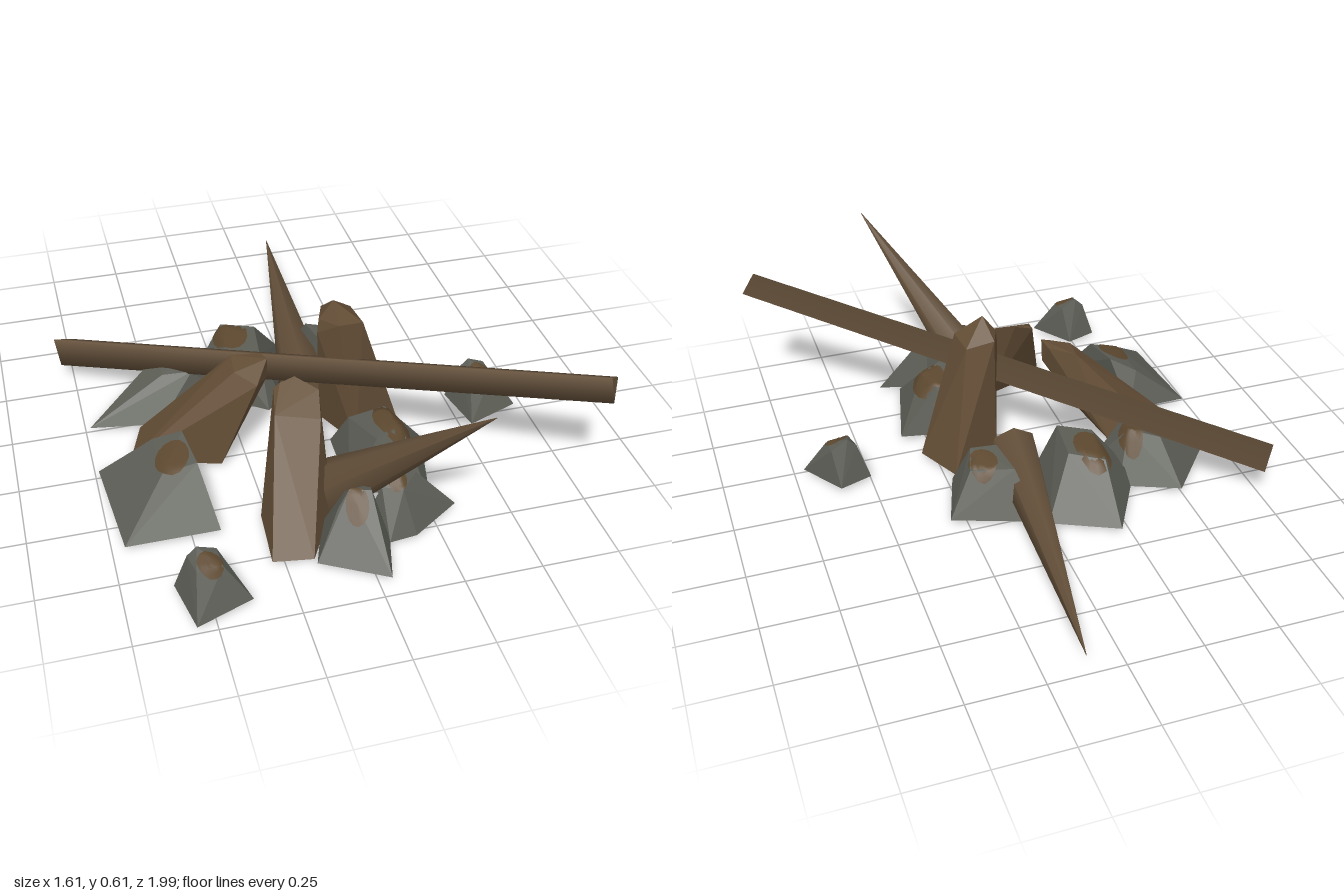
import * as THREE from 'three';
import { ConvexGeometry } from 'three/addons/geometries/ConvexGeometry.js';

const V = (x, y, z) => new THREE.Vector3(x, y, z);
const GROUND = 0.02;

export function createModel() {
  const model = new THREE.Group();
  const material = (name, color, extra = {}) =>
    Object.assign(new THREE.MeshStandardMaterial({ color, ...extra }), { name });
  const open = { flatShading: true, side: THREE.DoubleSide };
  const wood = material('wood', 0x64503a);
  const plankWood = material('plankWood', 0x644e36, open);
  const stone = material('stone', 0x5c5e56, open);
  const soil = material('soil', 0x5e4930, { side: THREE.DoubleSide });

  const add = (name, geometry, mat) => {
    const mesh = new THREE.Mesh(geometry, mat);
    mesh.name = name;
    model.add(mesh);
    return mesh;
  };

  // Tapered pole between two points; hint is where its first corner points
  function pole(name, from, to, r0, r1, sides, hint) {
    const y = to.clone().sub(from);
    const mesh = add(name, new THREE.CylinderGeometry(r1, r0, y.length(), sides), wood);
    y.normalize();
    const x = y.clone().cross(hint).normalize();
    const z = x.clone().cross(y);
    mesh.quaternion.setFromRotationMatrix(new THREE.Matrix4().makeBasis(x, y, z));
    mesh.position.copy(from).add(to).multiplyScalar(0.5);
  }

  // Faceted shell, open underneath: base outline [x, z] and upper corners [x, y, z]
  function shell(base, top) {
    const hull = new ConvexGeometry([
      ...base.map(([x, z]) => V(x, GROUND, z)),
      ...top.map((p) => V(...p)),
    ]);
    const src = hull.getAttribute('position').array, pos = [];
    for (let i = 0; i < src.length; i += 9)
      if (Math.max(src[i + 1], src[i + 4], src[i + 7]) > GROUND + 0.001)
        pos.push(...src.slice(i, i + 9));
    const g = new THREE.BufferGeometry();
    g.setAttribute('position', new THREE.Float32BufferAttribute(pos, 3));
    g.computeVertexNormals();
    return g;
  }

  // Soil blotch draped over a rock
  function blotch(rock, cx, cz, rx, rz) {
    const ray = new THREE.Raycaster();
    const drop = (x, z) => {
      ray.set(V(x, 2, z), V(0, -1, 0));
      const hit = ray.intersectObject(rock)[0];
      return [x, (hit ? hit.point.y : GROUND) + 0.004, z];
    };
    const rings = 4, n = 14, pos = [], index = [];
    for (let r = 0; r <= rings; r++)
      for (let i = 0; i < n; i++) {
        const a = (i / n) * Math.PI * 2, k = r / rings;
        pos.push(...drop(cx + Math.cos(a) * rx * k, cz + Math.sin(a) * rz * k));
      }
    for (let r = 0; r < rings; r++)
      for (let i = 0; i < n; i++) {
        const a = r * n + i, b = r * n + (i + 1) % n;
        index.push(a, b, a + n, b, b + n, a + n);
      }
    const g = new THREE.BufferGeometry();
    g.setAttribute('position', new THREE.Float32BufferAttribute(pos, 3));
    g.setIndex(index);
    g.computeVertexNormals();
    add('soilBlotch', g, soil);
  }

  // Long three-sided beam lying across the heap
  pole('beam', V(-0.78, 0.12, -0.36), V(0.771, 0.477, 0.79), 0.062, 0.052, 3, V(0.029, 0, -0.037));
  // Sharp stakes
  pole('backStake', V(0.01, 0.1, 0.025), V(0.127, 0.072, -0.99), 0.086, 0.001, 7, V(0, 1, 0));
  pole('frontStake', V(-0.03, 0.068, 0.55), V(0.297, 0.61, 1.0), 0.09, 0.001, 7, V(0.3, -0.5, 0.4));

  // Leaning broken planks
  const planks = {
    frontPlank: [
      [[-0.29, 0.79], [-0.164, 0.81], [-0.05, 0.6], [-0.05, 0.5], [-0.275, 0.58]],
      [[-0.18, 0.355, 0.375], [-0.16, 0.37, 0.375], [-0.11, 0.38, 0.365], [-0.045, 0.355, 0.42],
        [-0.06, 0.3, 0.5], [-0.2, 0.32, 0.47]]],
    leftPlank: [
      [[-0.63, 0.21], [-0.57, 0.04], [-0.37, 0.07], [-0.34, 0.3]],
      [[-0.18, 0.37, 0.2], [-0.17, 0.38, 0.25], [-0.27, 0.35, 0.16], [-0.28, 0.345, 0.25],
        [-0.22, 0.33, 0.32], [-0.17, 0.3, 0.24]]],
    uprightPlank: [
      [[0.217, 0.04], [0.296, 0.206], [0.12, 0.31], [0.04, 0.13]],
      [[0.005, 0.43, 0.22], [0.012, 0.475, 0.21], [0.06, 0.485, 0.28], [0.15, 0.465, 0.25],
        [0.14, 0.46, 0.14], [0.04, 0.475, 0.137], [0.06, 0.54, 0.21]]],
  };
  for (const [name, [base, top]] of Object.entries(planks)) add(name, shell(base, top), plankWood);

  // Rocks: base outline, upper corners, soil blotch [x, z, radiusX, radiusZ]
  const rocks = {
    backLeftRock: [
      [[-0.735, 0], [-0.5, -0.285], [-0.3, -0.2], [-0.25, -0.04], [-0.5, 0.04]],
      [[-0.46, 0.17, -0.17], [-0.36, 0.19, -0.12], [-0.37, 0.17, -0.03], [-0.47, 0.16, -0.05]],
      [-0.37, -0.12, 0.04, 0.06]],
    backRock: [
      [[-0.22, -0.425], [0, -0.32], [-0.06, 0], [-0.12, 0.06], [-0.38, -0.14]],
      [[-0.22, 0.19, -0.26], [-0.11, 0.2, -0.2], [-0.13, 0.2, -0.03], [-0.24, 0.19, -0.08]],
      [-0.2, -0.19, 0.06, 0.1]],
    backRightRock: [
      [[0.03, -0.3], [0.306, -0.2], [0.235, 0.025], [0.06, -0.02]],
      [[0.08, 0.18, -0.2], [0.22, 0.17, -0.15], [0.19, 0.19, -0.05], [0.1, 0.19, -0.06]],
      [0.17, -0.13, 0.05, 0.06]],
    leftRock: [
      [[-0.738, 0.235], [-0.52, 0.23], [-0.41, 0.612], [-0.71, 0.612]],
      [[-0.56, 0.155, 0.28], [-0.47, 0.2, 0.32], [-0.45, 0.185, 0.47], [-0.56, 0.155, 0.46]],
      [-0.52, 0.41, 0.055, 0.07]],
    rightRock: [
      [[0.04, 0.27], [0.34, 0.33], [0.265, 0.645], [0.03, 0.53]],
      [[0.08, 0.16, 0.34], [0.2, 0.19, 0.35], [0.22, 0.19, 0.47], [0.12, 0.2, 0.52]],
      [0.2, 0.43, 0.06, 0.1]],
    frontRock: [
      [[-0.16, 0.83], [0.04, 0.945], [0.085, 0.78], [0.02, 0.62], [-0.1, 0.66]],
      [[-0.035, 0.2, 0.73], [-0.075, 0.15, 0.75], [0.03, 0.2, 0.75], [0.04, 0.18, 0.7],
        [-0.04, 0.17, 0.7]],
      [-0.02, 0.77, 0.035, 0.045]],
    frontRightRock: [
      [[0.16, 0.63], [0.335, 0.68], [0.17, 0.79], [0.08, 0.8], [0.03, 0.68]],
      [[0.08, 0.16, 0.7], [0.14, 0.2, 0.68], [0.2, 0.17, 0.67], [0.14, 0.16, 0.73]],
      [0.13, 0.7, 0.03, 0.03]],
  };
  // Two matching loose stones
  const loose = (dx, dz) => [
    [[0.5, 0.13], [0.614, 0.09], [0.716, 0.243], [0.534, 0.312]].map(([x, z]) => [x + dx, z + dz]),
    [[0.54, 0.148, 0.15], [0.57, 0.177, 0.15], [0.63, 0.148, 0.14], [0.635, 0.14, 0.21],
      [0.555, 0.145, 0.22]].map(([x, y, z]) => [x + dx, y, z + dz]),
    [0.6 + dx, 0.2 + dz, 0.04, 0.035],
  ];
  rocks.looseStoneRight = loose(0, 0);
  rocks.looseStoneLeft = loose(-1.095, 0.68);

  for (const [name, [base, top, spot]] of Object.entries(rocks))
    blotch(add(name, shell(base, top), stone), ...spot);

  return model;
}
